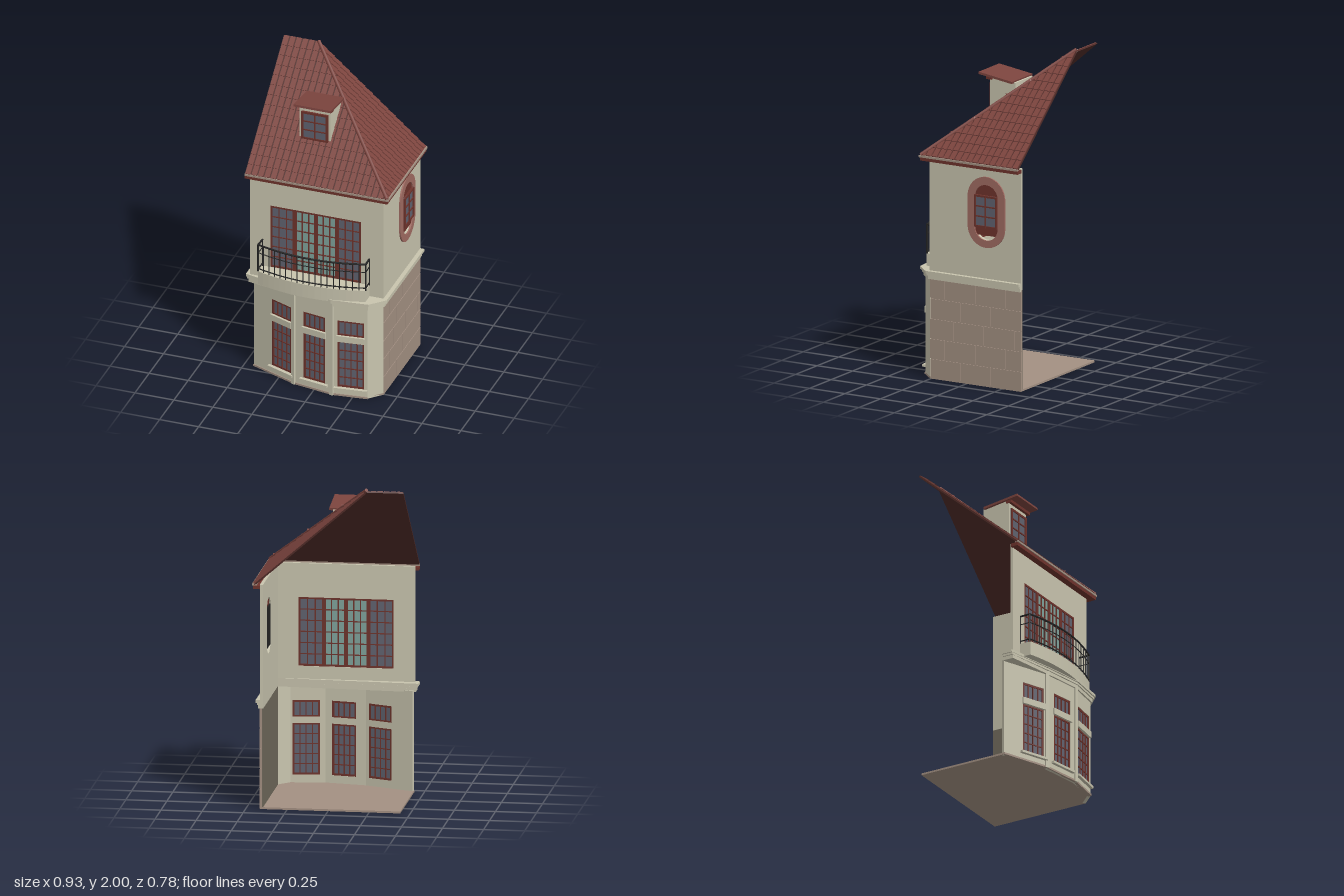
import * as THREE from 'three';
import { mergeGeometries } from 'three/addons/utils/BufferGeometryUtils.js';

const mat = (name, color) => Object.assign(new THREE.MeshStandardMaterial({ color }), { name });
const cream = mat('cream plaster', 0xc8c4ae);
const stone = mat('tan stone', 0xa39082);
const lining = mat('dark lining', 0x706a5c);
const tile = mat('roof tile', 0x7c443e);
const underTile = mat('roof underlay', 0x4f2b27);
const maroon = mat('maroon wood', 0x6e332c);
const glass = mat('grey glass', 0x60626f);
const curtain = mat('pale teal glass', 0x7fa29b);
const iron = mat('black iron', 0x242424);
const brick = mat('rose brick', 0xa06b62);

const add = (parent, name, geo, material) => {
  const m = new THREE.Mesh(geo, material);
  m.name = name;
  parent.add(m);
  return m;
};
const group = (parent, name) => {
  const g = new THREE.Group();
  g.name = name;
  parent.add(g);
  return g;
};
// Box from its limits
const box = (x0, x1, y0, y1, z0, z1) =>
  new THREE.BoxGeometry(x1 - x0, y1 - y0, z1 - z0).translate((x0 + x1) / 2, (y0 + y1) / 2, (z0 + z1) / 2);
const poly = (pts) => new THREE.Shape(pts.map(([x, y]) => new THREE.Vector2(x, y)));
const rect = (x0, x1, y0, y1) => poly([[x0, y0], [x1, y0], [x1, y1], [x0, y1]]);
const extrude = (shape, z0, z1) =>
  new THREE.ExtrudeGeometry(shape, { depth: z1 - z0, bevelEnabled: false, curveSegments: 14 }).translate(0, 0, z0);
// Floor plan of [x, z] points raised from y0 to y1
const plan = (pts, y0, y1) => extrude(poly(pts), 0, y1 - y0).rotateX(Math.PI / 2).translate(0, y1, 0);
const stadium = (cx, y0, y1, r) => {
  const s = new THREE.Shape();
  s.absarc(cx, y1 - r, r, 0, Math.PI);
  s.absarc(cx, y0 + r, r, Math.PI, Math.PI * 2);
  s.closePath();
  return s;
};
// Group running from plan point a to b, with local z facing outwards
const side = (parent, name, a, b) => {
  const g = group(parent, name);
  g.position.set(a[0], 0, a[1]);
  g.rotation.y = -Math.atan2(b[1] - a[1], b[0] - a[0]);
  g.userData.length = Math.hypot(b[0] - a[0], b[1] - a[1]);
  return g;
};
const wall = (g, y0, y1, holes, material = cream, t = 0.02) => {
  const s = rect(0, g.userData.length, y0, y1);
  s.holes.push(...holes);
  add(g, 'wall', extrude(s, -t, 0), material);
};
// Framed window with a grid of glazing bars
const win = (g, x0, x1, y0, y1, cols, rows, pane = glass, z = 0, f = 0.012, b = 0.006) => {
  const w = group(g, 'window');
  const bars = [];
  for (let i = 0; i <= cols; i++) {
    const h = i % cols ? b / 2 : f / 2;
    const x = x0 + f / 2 + (x1 - x0 - f) * i / cols;
    bars.push(box(x - h, x + h, y0, y1, z - 0.016, z));
  }
  for (let i = 0; i <= rows; i++) {
    const h = i % rows ? b / 2 : f / 2;
    const y = y0 + f / 2 + (y1 - y0 - f) * i / rows;
    bars.push(box(x0, x1, y - h, y + h, z - 0.0155, z - 0.0005));
  }
  add(w, 'windowFrame', mergeGeometries(bars), maroon);
  add(w, 'windowPane', box(x0, x1, y0, y1, z - 0.011, z - 0.006), pane);
};
const rod = (a, b, r, sides = 6) => {
  const d = b.clone().sub(a);
  const q = new THREE.Quaternion().setFromUnitVectors(new THREE.Vector3(0, 1, 0), d.clone().normalize());
  return new THREE.CylinderGeometry(r, r, d.length(), sides).applyQuaternion(q)
    .translate((a.x + b.x) / 2, (a.y + b.y) / 2, (a.z + b.z) / 2);
};

const bay = [[-0.44, 0.195], [-0.14, 0.315], [0.12, 0.36], [0.34, 0.335], [0.415, 0.255]];
const BACK = -0.385;

function groundFloor(root) {
  add(root, 'floor', plan([...bay, [0.415, BACK], [-0.44, BACK]], 0, 0.012), stone);
  // Bay of three window panels and a corner panel
  const spans = [[-0.305, -0.16], [-0.075, 0.075], [0.155, 0.32]];
  for (let i = 0; i < 4; i++) {
    const g = side(root, 'bayPanel', bay[i], bay[i + 1]);
    const L = g.userData.length;
    if (i === 3) { wall(g, 0, 0.63, []); continue; }
    const k = L / (bay[i + 1][0] - bay[i][0]);
    const [a, b] = spans[i].map((x) => (x - bay[i][0]) * k);
    wall(g, 0, 0.63, [rect(a, b, 0.06, 0.52)]);
    win(g, a, b, 0.06, 0.38, 4, 5, glass, -0.003);
    win(g, a, b, 0.415, 0.52, 4, 1, glass, -0.003);
    add(g, 'transom', box(a - 0.006, b + 0.006, 0.378, 0.418, -0.02, 0.012), cream);
    add(g, 'sill', box(a - 0.02, b + 0.02, 0.045, 0.06, -0.01, 0.02), cream);
    add(g, 'plinth', box(0, L, 0, 0.012, -0.01, 0.006), stone);
    if (i < 2) add(g, 'pilaster', box(L - 0.012, L + 0.012, 0, 0.65, -0.015, 0.01), cream);
  }
  // Stone side wall with coursed blocks
  const s = side(root, 'stoneWall', bay[4], [0.415, BACK]);
  const L = s.userData.length, blocks = [], rows = 5, h = 0.625 / rows, gap = 0.003;
  add(s, 'stoneBacking', box(0, L, 0, 0.63, -0.014, -0.004), stone);
  add(s, 'innerLining', box(0, L, 0.012, 0.63, -0.02, -0.014), lining);
  for (let r = 0; r < rows; r++) {
    for (let x = [0, -0.11, -0.05][r % 3]; x < L; x += 0.215) {
      const x0 = Math.max(0, x + gap), x1 = Math.min(L, x + 0.215 - gap);
      if (x1 - x0 > 0.01) blocks.push(box(x0, x1, r * h + gap, (r + 1) * h - gap, -0.006, 0.001));
    }
  }
  add(s, 'stoneBlocks', mergeGeometries(blocks), stone);
  // Stepped cornice
  for (const [o, y0, y1] of [[0.01, 0.62, 0.642], [0.018, 0.642, 0.655], [0.026, 0.655, 0.672]]) {
    add(root, 'cornice', plan([[-0.44 - o, 0.195], [-0.44 - o, 0.265], [-0.14, 0.315 + o], [0.12, 0.36 + o],
      [0.34 + o * 0.6, 0.335 + o], [0.415 + o, 0.26 + o * 0.5], [0.415 + o, BACK], [0.395, BACK], [0.395, 0.235]], y0, y1), cream);
  }
}

function upperFloor(root) {
  const f = side(root, 'frontWall', [-0.44, 0.26], [0.415, 0.26]);
  wall(f, 0.66, 1.385, [rect(0.13, 0.71, 0.75, 1.175)]);
  [[0.13, 0.285, 3, glass], [0.285, 0.422, 3, curtain], [0.422, 0.555, 3, curtain], [0.555, 0.71, 3, glass]]
    .forEach(([a, b, c, p]) => win(f, a, b, 0.75, 1.175, c, 6, p, 0));
  // Side wall with oval window
  const s = side(root, 'sideWall', [0.415, 0.26], [0.415, BACK]);
  const cx = 0.405;
  wall(s, 0.66, 1.385, [stadium(cx, 0.91, 1.255, 0.082)]);
  const ring = stadium(cx, 0.865, 1.305, 0.13);
  ring.holes.push(stadium(cx, 0.91, 1.255, 0.082));
  add(s, 'ovalSurround', extrude(ring, -0.002, 0.01), brick);
  const panel = new THREE.Shape();
  panel.moveTo(cx - 0.08, 0.94).lineTo(cx + 0.08, 0.94).lineTo(cx + 0.08, 1.175);
  panel.absarc(cx, 1.175, 0.08, 0, Math.PI);
  add(s, 'ovalPanel', extrude(panel, -0.012, 0.003), maroon);
  win(s, cx - 0.08, cx + 0.08, 0.99, 1.19, 2, 3, glass, 0.02, 0.012, 0.008);
  add(s, 'innerShutter', box(cx - 0.08, cx + 0.08, 0.95, 1.2, -0.02, -0.012), iron);
}

function balcony(root) {
  const g = group(root, 'balcony');
  const arc = (x, inset = 0) => 0.39 - inset - 0.055 * ((x + 0.018) / 0.345) ** 2;
  const xs = Array.from({ length: 19 }, (_, i) => -0.363 + 0.69 * i / 18);
  add(g, 'balconyBase', plan([[-0.363, 0.25], ...xs.map((x) => [x, arc(x)]), [0.327, 0.25]], 0.66, 0.748), cream);
  // Railing path follows the curved edge and returns to the wall
  const path = [[-0.36, 0.262], ...xs.map((x) => [x, arc(x, 0.005)]), [0.325, 0.262]];
  const parts = [];
  const at = ([x, z], y) => new THREE.Vector3(x, y, z);
  for (const [y, r] of [[0.765, 0.004], [0.875, 0.003], [0.93, 0.006]])
    for (let i = 1; i < path.length; i++) parts.push(rod(at(path[i - 1], y), at(path[i], y), r));
  path.forEach((p, i) => parts.push(rod(at(p, 0.748), at(p, 0.93), i === 1 || i === path.length - 2 ? 0.006 : 0.003)));
  add(g, 'railing', mergeGeometries(parts), iron);
}

const H = 0.595, RUN = 0.685, LEN = Math.hypot(H, RUN);

// One tiled slope: u runs along the eave, v up the slope, top(u) is the hip limit
function slope(parent, name, outline, u0, u1, top) {
  const g = group(parent, name);
  g.rotation.x = -Math.atan2(RUN, H);
  add(g, 'underlay', extrude(poly(outline), -0.01, 0), underTile);
  const tiles = [], w = 0.0405, rows = 14, h = LEN / rows;
  for (let u = u0; u < u1 - 0.01; u += w) {
    for (let r = 0; r < rows; r++) {
      const a = u, b = Math.min(u + 0.032, u1), v0 = r * h, v1 = v0 + h;
      const ta = Math.max(v0, Math.min(v1, top(a))), tb = Math.max(v0, Math.min(v1, top(b)));
      if (ta - v0 < 0.001 && tb - v0 < 0.001) continue;
      const pts = [[a, v0], [b, v0]];
      if (tb > v0) pts.push([b, tb]);
      if (ta > v0) pts.push([a, ta]);
      const geo = extrude(poly(pts), 0, 0.004), p = geo.attributes.position;
      // Lower edge of each course lifts over the next
      for (let i = 0; i < p.count; i++) if (p.getZ(i) > 0.002) p.setZ(i, 0.004 + (v1 - p.getY(i)) * 0.09);
      geo.computeVertexNormals();
      tiles.push(geo);
    }
  }
  add(g, 'tiles', mergeGeometries(tiles), tile);
  return g;
}

function roof(root) {
  const r = group(root, 'roof');
  const k = LEN / RUN;
  slope(r, 'frontSlope', [[-0.46, 0], [0.45, 0], [-0.235, LEN], [-0.46, LEN]], -0.455, 0.45, (u) => (0.45 - u) * k)
    .position.set(0, 1.388, 0.3);
  const turn = group(r, 'sideRoof');
  turn.position.set(0.45, 1.388, 0);
  turn.rotation.y = Math.PI / 2;
  slope(turn, 'sideSlope', [[-0.3, 0], [0.385, 0], [0.385, LEN]], -0.3, 0.385, (u) => (u + 0.3) * k);
  add(r, 'hipRidge', rod(new THREE.Vector3(0.452, 1.392, 0.3), new THREE.Vector3(-0.235, 1.988, -0.382), 0.012, 8), tile);
  // Eave boards with a pale gutter lip
  add(r, 'frontFascia', box(-0.46, 0.455, 1.357, 1.378, 0.255, 0.302), maroon);
  add(r, 'sideFascia', box(0.41, 0.455, 1.357, 1.378, BACK, 0.302), maroon);
  add(r, 'frontGutter', box(-0.46, 0.462, 1.378, 1.39, 0.285, 0.307), stone);
  add(r, 'sideGutter', box(0.435, 0.462, 1.378, 1.39, BACK, 0.307), stone);
  // Dormer
  const d = group(r, 'dormer');
  const profile = poly([[0.08, 1.572], [0.08, 1.815], [-0.1, 1.795], [-0.1, 1.735]]);
  add(d, 'dormerBody', extrude(profile, 0, 0.2).rotateY(-Math.PI / 2).translate(0.01, 0, 0), cream);
  win(d, -0.175, -0.003, 1.577, 1.768, 2, 3, glass, 0.092, 0.014, 0.007);
  const lid = add(d, 'dormerRoof', new THREE.BoxGeometry(0.24, 0.014, 0.238), tile);
  lid.position.set(-0.085, 1.815, 0.028);
  lid.rotation.x = -0.14;
  add(d, 'dormerEave', box(-0.195, 0.025, 1.797, 1.815, 0.06, 0.098), maroon);
}

export function createModel() {
  const root = new THREE.Group();
  root.name = 'cornerHouse';
  groundFloor(root);
  upperFloor(root);
  balcony(root);
  roof(root);
  return root;
}
